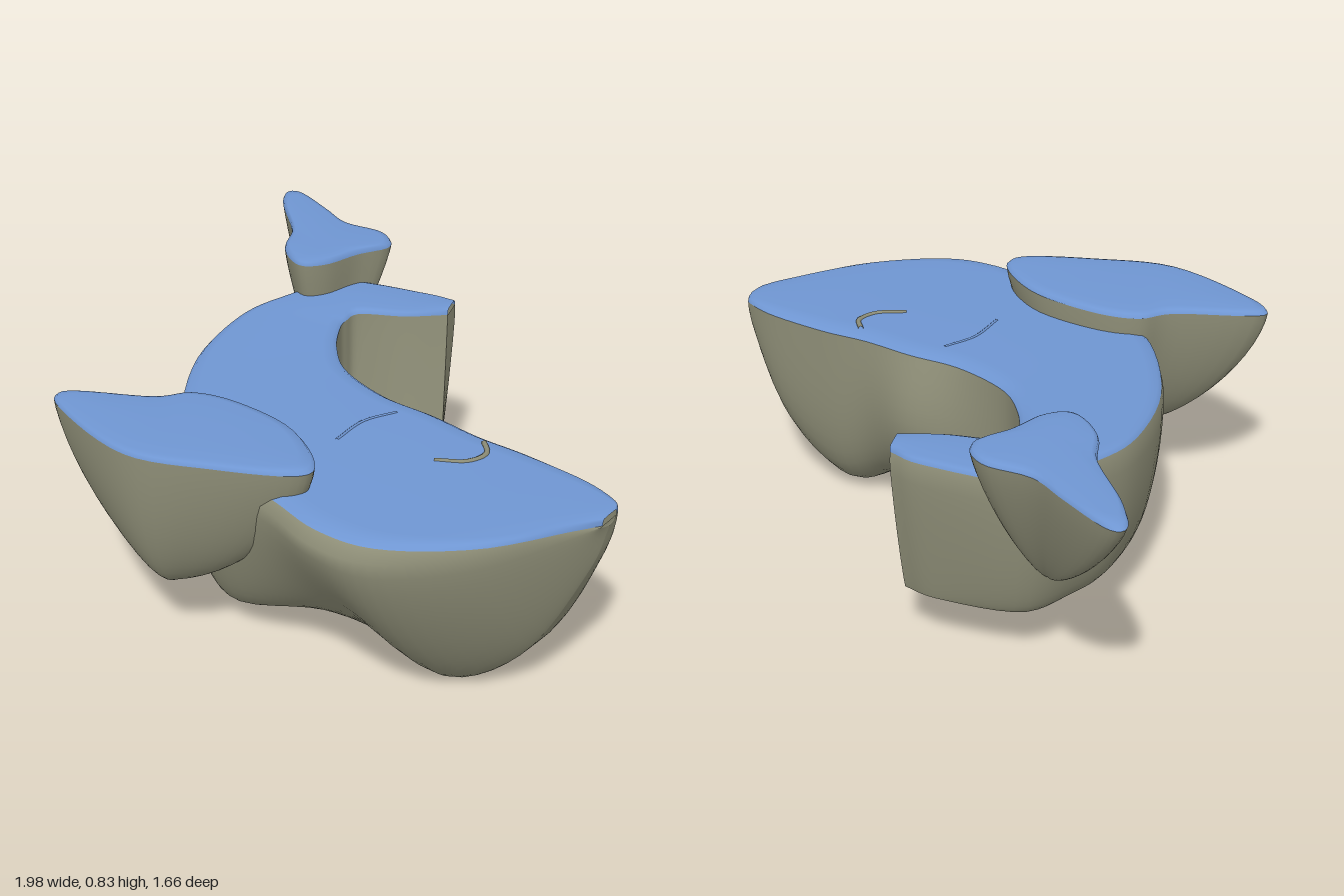
import * as THREE from 'three';

const blue = new THREE.MeshStandardMaterial({ color: 0x6f96d2, side: THREE.DoubleSide });
blue.name = 'blue back';
const olive = new THREE.MeshStandardMaterial({ color: 0x8f8f78, side: THREE.DoubleSide });
olive.name = 'olive underside';

const { smoothstep } = THREE.MathUtils;
const bump = (t, centre, width) => Math.exp(-(((t - centre) / width) ** 2));

// Smooth skin through rows of points; closed joins the last column to the first
function skin(name, rows, material, closed = false) {
  const n = rows[0].length, pos = [], idx = [];
  rows.forEach(r => r.forEach(p => pos.push(p.x, p.y, p.z)));
  for (let i = 0; i < rows.length - 1; i++) {
    for (let j = 0; j < (closed ? n : n - 1); j++) {
      const k = (j + 1) % n, a = i * n + j, b = i * n + k;
      idx.push(a, b, a + n, b, b + n, a + n);
    }
  }
  const g = new THREE.BufferGeometry();
  g.setAttribute('position', new THREE.Float32BufferAttribute(pos, 3));
  g.setIndex(idx);
  g.computeVertexNormals();
  const m = new THREE.Mesh(g, material);
  m.name = name;
  return m;
}

// Rounded quarter profile: how far in from rim to keel after a drop g (both 0 to 1)
const inset = (g, n) => 1 - Math.max(0, 1 - g ** n) ** (1 / n);
// Drops bunched toward the keel, where the profile turns fastest
const drops = Array.from({ length: 15 }, (_, i) => Math.sin(i / 14 * Math.PI / 2) ** 1.3);

// Flat-topped fin that narrows down to a keel point
function fin(name, outline, top, keel, powerX, powerZ) {
  const group = new THREE.Group();
  group.name = name;
  const curve = new THREE.CatmullRomCurve3(
    outline.map(([x, z]) => new THREE.Vector3(x, top, z)), true, 'catmullrom', 0.5);
  const rim = curve.getPoints(56).slice(0, -1);
  const ring = (fx, fz, y) => rim.map(p => new THREE.Vector3(
    p.x + (keel.x - p.x) * fx, y, p.z + (keel.z - p.z) * fz));
  const rimY = top - 0.02;
  group.add(skin(name + 'Top', [[1, 0], [0.5, 0], [0.12, 0.002], [0.03, 0.007], [0, 0.02]]
    .map(([f, drop]) => ring(f, f, top - drop)), blue, true));
  group.add(skin(name + 'Underside', drops.map(g =>
    ring(inset(g, powerX), inset(g, powerZ), rimY + (keel.y - rimY) * g)), olive, true));
  return group;
}

// Body rims from nose to tail: outer x,z | inner x,z
const rims = [
  [0.985, 0.12, 0.98, 0.04], [0.94, 0.21, 0.95, 0], [0.8, 0.455, 0.82, -0.04], [0.59, 0.64, 0.6, -0.05],
  [0.4, 0.68, 0.43, -0.04], [0.2, 0.64, 0.25, -0.05], [-0.08, 0.59, 0.06, -0.045],
  [-0.33, 0.45, -0.14, -0.1], [-0.55, 0.155, -0.26, -0.2], [-0.64, -0.14, -0.33, -0.3],
  [-0.62, -0.34, -0.345, -0.35], [-0.53, -0.56, -0.335, -0.41], [-0.24, -0.65, -0.2, -0.48],
  [-0.12, -0.65, -0.09, -0.57],
];
// Lower edges x,y,z: the walls meet under the head and part along the open tail
const headKeel = [
  [0.985, 0.6, 0.08], [0.95, 0.45, 0.12], [0.81, 0.16, 0.21], [0.6, 0.004, 0.27], [0.42, 0.08, 0.28],
];
const outerKeel = [...headKeel,
  [0.21, 0.145, 0.38], [-0.1, 0.09, 0.46], [-0.3, 0.115, 0.36], [-0.46, 0.145, 0.1], [-0.52, 0.165, -0.16],
  [-0.52, 0.18, -0.33], [-0.47, 0.19, -0.5], [-0.24, 0.2, -0.59], [-0.12, 0.2, -0.59],
];
const innerKeel = [...headKeel,
  [0.24, 0.15, 0.2], [0.06, 0.16, -0.01], [-0.14, 0.17, -0.07], [-0.25, 0.18, -0.17], [-0.32, 0.19, -0.28],
  [-0.335, 0.2, -0.34], [-0.3, 0.2, -0.375], [-0.16, 0.2, -0.43], [-0.06, 0.2, -0.51],
];

function body() {
  const group = new THREE.Group();
  group.name = 'body';
  const spline = points => new THREE.CatmullRomCurve3(
    points.map(p => new THREE.Vector3(...p)), false, 'catmullrom', 0.5);
  const outerRim = spline(rims.map(r => [r[0], 0, r[1]])), innerRim = spline(rims.map(r => [r[2], 0, r[3]]));
  const outerEdge = spline(outerKeel), innerEdge = spline(innerKeel);
  const outer = [], inner = [], top = [], steps = 68;
  for (let i = 0; i <= steps; i++) {
    const t = i / steps;
    const O = outerRim.getPoint(t), I = innerRim.getPoint(t);
    const out = O.clone().sub(I).normalize();
    O.y = I.y = 0.635 + 0.075 * t;
    const wall = (rim, keel, power, swell) => drops.map(g => {
      const p = rim.clone().lerp(keel, inset(g, power));
      p.y = rim.y - 0.02 + (keel.y - rim.y + 0.02) * g;
      return p.addScaledVector(out, swell(g));
    });
    // The head swells just below its rim; the inner wall swells behind the head
    const flare = 0.01 + 0.035 * bump(t, 0.28, 0.12);
    const hump = 0.055 * bump(t, 0.4, 0.08);
    outer.push(wall(O, outerEdge.getPoint(t), 1.38 + 0.8 * smoothstep(t, 0.3, 0.5) - smoothstep(t, 0.75, 0.95),
      g => flare * Math.sin(Math.PI * g ** 0.4)));
    inner.push(wall(I, innerEdge.getPoint(t), 2 + 1.7 * smoothstep(t, 0, 0.22) - 2.6 * smoothstep(t, 0.7, 0.9),
      g => -hump * Math.sin(Math.PI * g)));
    // Back surface with a soft rolled edge
    top.push([[0, 0.02], [0.03, 0.007], [0.1, 0.001], [0.5, 0], [0.9, 0.001], [0.97, 0.007], [1, 0.02]]
      .map(([f, drop]) => {
        const p = O.clone().lerp(I, f);
        p.y -= drop;
        return p;
      }));
  }
  group.add(skin('outerWall', outer.map(r => r.reverse()), olive), skin('innerWall', inner, olive));
  group.add(skin('bodyBack', top, blue));
  // Closed ends at the nose and the tail lobe
  const facing = outer.map(r => [...r].reverse());
  group.add(skin('noseCap', [facing[0], inner[0]], olive));
  group.add(skin('tailLobeEnd', [inner[steps], facing[steps]], olive));
  return group;
}

// Slim raised line lying on the back
function ridge(name, points, radius, material) {
  const curve = new THREE.CatmullRomCurve3(points.map(p => new THREE.Vector3(...p)));
  const m = new THREE.Mesh(new THREE.TubeGeometry(curve, 20, radius, 6), material);
  m.name = name;
  return m;
}

export function createModel() {
  const model = new THREE.Group();
  model.name = 'whale';
  model.add(body());

  model.add(fin('sideFin', [
    [-0.62, 0.68], [-0.38, 0.53], [-0.3, 0.43], [-0.15, 0.39], [0.08, 0.41],
    [0.26, 0.52], [0.26, 0.61], [0.05, 0.73], [-0.2, 0.825], [-0.5, 0.765],
  ], 0.75, new THREE.Vector3(-0.18, 0.23, 0.65), 1.42, 2.1));

  model.add(fin('tailFluke', [
    [-0.995, -0.8], [-0.95, -0.83], [-0.78, -0.77], [-0.65, -0.72], [-0.5, -0.735], [-0.415, -0.67],
    [-0.46, -0.55], [-0.49, -0.42], [-0.56, -0.36], [-0.68, -0.43], [-0.76, -0.56], [-0.93, -0.71],
  ], 0.83, new THREE.Vector3(-0.56, 0.34, -0.49), 1.2, 1.25));

  // Eye crease and a fold on the back
  model.add(ridge('eyeCrease',
    [[0.48, 0.654, 0], [0.525, 0.653, 0.05], [0.51, 0.653, 0.12], [0.43, 0.654, 0.18]], 0.009, olive));
  model.add(ridge('backFold',
    [[0.17, 0.664, 0.03], [0.13, 0.666, 0.14], [0.14, 0.665, 0.28]], 0.005, blue));
  return model;
}
